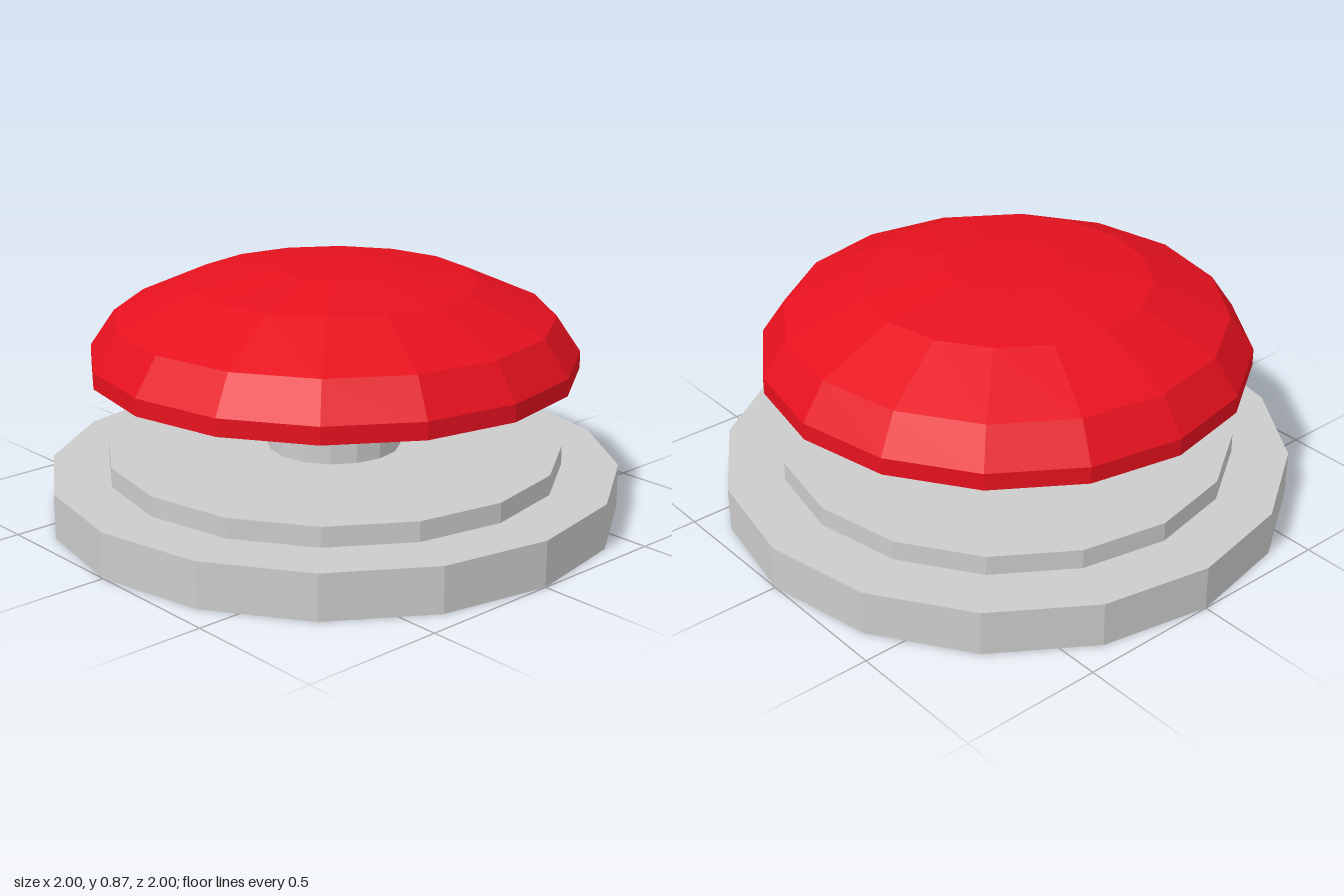
import * as THREE from 'three';

const SIDES = 16;

export function createModel() {
  const group = new THREE.Group();
  group.name = 'pushButton';
  const grey = new THREE.MeshStandardMaterial({ color: 0xcccccc, flatShading: true });
  const red = new THREE.MeshStandardMaterial({ color: 0xe6111e, flatShading: true });

  const add = (name, geometry, material) => {
    const mesh = new THREE.Mesh(geometry, material);
    mesh.name = name;
    group.add(mesh);
    return mesh;
  };

  // Upright drum between two heights
  const drum = (name, radius, y0, y1) => {
    const geometry = new THREE.CylinderGeometry(radius, radius, y1 - y0, SIDES);
    add(name, geometry, grey).position.y = (y0 + y1) / 2;
  };

  drum('base', 1, 0, 0.16);
  drum('collar', 0.8, 0.16, 0.23);
  drum('stem', 0.235, 0.23, 0.515);

  // Domed cap with a flat underside and a flat top facet
  const profile = [
    [0, 0.515], [0.85, 0.515], [0.85, 0.575], [0.765, 0.7],
    [0.5, 0.82], [0.2, 0.865], [0, 0.865],
  ].map(([r, y]) => new THREE.Vector2(r, y));
  add('cap', new THREE.LatheGeometry(profile, SIDES), red);

  return group;
}
